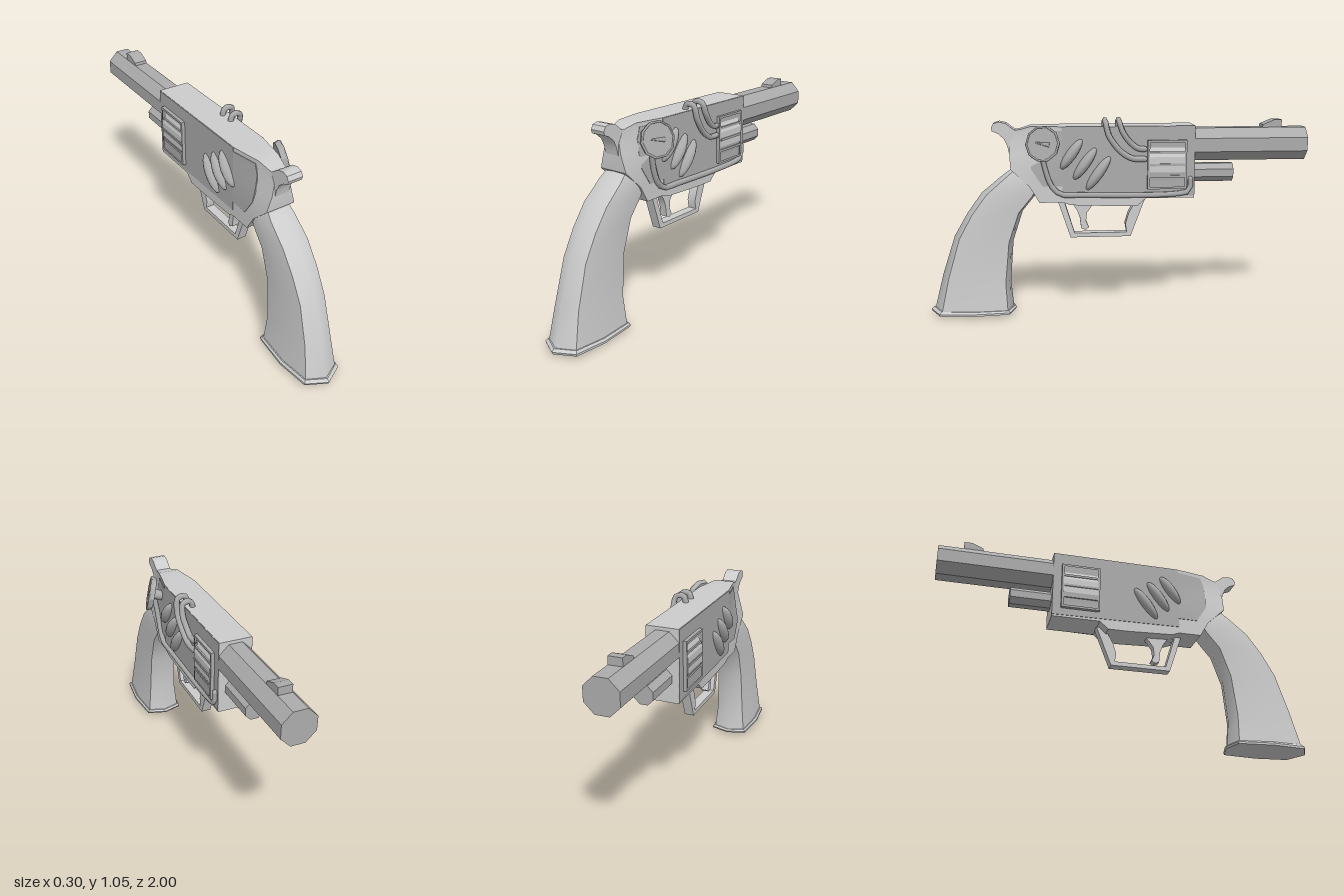
import * as THREE from 'three';
import { toCreasedNormals } from 'three/addons/utils/BufferGeometryUtils.js';

const CX = -0.024;   // centre plane of the prop
const HALF = 0.083;  // half width of the frame

export function createModel() {
  const model = new THREE.Group();
  const light = new THREE.MeshStandardMaterial({ color: 0xcccccc });
  light.name = 'lightGrey';
  const mid = new THREE.MeshStandardMaterial({ color: 0xacacac });
  mid.name = 'midGrey';

  const add = (name, geometry, material, x = 0, y = 0, z = 0) => {
    const mesh = new THREE.Mesh(geometry, material);
    mesh.name = name;
    mesh.position.set(x, y, z);
    model.add(mesh);
    return mesh;
  };

  // Side profile of [z, y] points, extruded across x and centred on x = 0
  const points = (list) => list.map(([z, y]) => new THREE.Vector2(-z, y));
  const profile = (list, width, hole) => {
    const shape = new THREE.Shape(points(list));
    if (hole) shape.holes.push(new THREE.Path(points(hole)));
    return toCreasedNormals(new THREE.ExtrudeGeometry(shape, { depth: width, bevelEnabled: false })
      .translate(0, 0, -width / 2).rotateY(Math.PI / 2), 0.55);
  };

  // Skin over rings of [x, y, z] ordered upwards, capped at both ends
  const loft = (rings, crease, dome = 0) => {
    const pos = [];
    const n = rings[0].length;
    const centre = (ring) => [0, 1, 2].map((k) => ring.reduce((s, p) => s + p[k], 0) / n);
    const low = centre(rings[0]);
    low[1] -= dome;
    const top = rings[rings.length - 1];
    const high = centre(top);
    for (let j = 0; j < n; j++) {
      const k = (j + 1) % n;
      pos.push(...low, ...rings[0][k], ...rings[0][j], ...high, ...top[j], ...top[k]);
      for (let i = 0; i + 1 < rings.length; i++) {
        const [a, b, c, d] = [rings[i][j], rings[i][k], rings[i + 1][k], rings[i + 1][j]];
        pos.push(...a, ...b, ...c, ...a, ...c, ...d);
      }
    }
    const g = new THREE.BufferGeometry();
    g.setAttribute('position', new THREE.Float32BufferAttribute(pos, 3));
    return toCreasedNormals(g, crease);
  };

  // Regular bar along z with a flat on top
  const bar = (apothem, length, sides = 8) => toCreasedNormals(
    new THREE.CylinderGeometry(apothem / Math.cos(Math.PI / sides), apothem / Math.cos(Math.PI / sides), length, sides)
      .rotateY(Math.PI / sides).rotateX(Math.PI / 2), 0.3);

  const tube = (name, list, radius) => {
    const curve = new THREE.CatmullRomCurve3(list.map((p) => new THREE.Vector3(...p)), false, 'centripetal');
    add(name, new THREE.TubeGeometry(curve, 26, radius, 6), mid);
    [list[0], list[list.length - 1]].forEach((p) =>
      add(name + 'End', new THREE.SphereGeometry(radius, 6, 5), mid, ...p));
  };

  // Frame
  add('frame', profile([[-0.4, 0.63], [-0.4, 1.007], [0.29, 1.007], [0.29, 0.615], [0.25, 0.6],
    [0, 0.59], [-0.1, 0.59], [-0.145, 0.63]], HALF * 2), light, CX);
  // Tapering rear of the frame: y, rear z, rear half width
  const rear = [[0.615, 0.41, 0.083], [0.7, 0.46, 0.083], [0.79, 0.555, 0.08], [0.87, 0.56, 0.056],
    [0.93, 0.555, 0.042], [0.985, 0.525, 0.04], [1.007, 0.45, 0.055]];
  // Portion of the rear up to fraction t of its length, grown sideways by the given amount
  const rearRing = (t, grow) => ([y, zEnd, wEnd]) => {
    const z = 0.29 + (zEnd - 0.29) * t;
    const w = HALF + (wEnd - HALF) * t + grow;
    const f = HALF + grow;
    return [[f, y, 0.29], [-f, y, 0.29], [-w, y, z], [w, y, z]];
  };
  add('rearFrame', loft(rear.map(rearRing(1, 0)), 0.5), light, CX);
  add('rearPanel', loft(rear.slice(1, 6).map(rearRing(0.6, 0.003)), 0.5), mid, CX);
  add('hammer', profile([[0.65, 1.0], [0.638, 1.022], [0.61, 1.03], [0.575, 1.022], [0.53, 0.987], [0.45, 1.0],
    [0.45, 0.88], [0.562, 0.87], [0.57, 0.91], [0.587, 0.945], [0.615, 0.97], [0.645, 0.982]], 0.08), light, CX);

  // Barrel group
  add('barrel', bar(0.085, 0.61), mid, CX, 0.905, -0.695);
  add('lowerRod', bar(0.048, 0.23), mid, CX, 0.753, -0.5);
  add('frontSight', profile([[-0.765, 0.98], [-0.77, 1.005], [-0.83, 1.03], [-0.87, 1.03], [-0.87, 0.98]], 0.07), mid, CX);

  // Details shared by both sides
  for (const side of [1, -1]) {
    const x = CX + side * HALF;
    add('sidePanel', profile([[-0.4, 0.64], [-0.4, 1.005], [0.29, 1.005], [0.29, 0.65]], 0.006), mid, x);
    add('drumSurround', profile([[-0.15, 0.68], [-0.15, 0.935], [-0.355, 0.935], [-0.355, 0.68]], 0.03,
      [[-0.162, 0.692], [-0.162, 0.923], [-0.343, 0.923], [-0.343, 0.692]]), mid, x + side * 0.006);
    for (let i = 0; i < 3; i++) {
      const fin = add('fin', new THREE.SphereGeometry(1, 12, 8), mid, x, 0.866 - i * 0.05, 0.243 - i * 0.069);
      fin.scale.set(0.04, 0.094 + i * 0.006, 0.028);
      fin.rotation.x = -0.62;
    }
  }

  // Drum showing through both sides, with ribs
  const drum = add('drum', bar(0.15, 0.185, 12), light, CX, 0.808, -0.252);
  drum.scale.x = 0.7;
  for (const side of [1, -1]) {
    for (let i = 0; i < 3; i++) {
      const y = (i - 1) * 0.062;
      add('drumGroove', new THREE.BoxGeometry(0.008, 0.012, 0.182), mid,
        CX + side * (i === 1 ? 0.106 : 0.099), 0.808 + y, -0.252);
    }
  }

  // Grip: back z and y, front z and y, half width, depth of the back ridge
  const gripRing = ([bz, by, fz, fy, w, ridge]) => {
    const at = (s, t) => [s * w, fy + (by - fy) * t, fz + (bz - fz) * t];
    return [at(1, 0.5), at(0.85, 0.07), at(0, 0), at(-0.85, 0.07),
      at(-1, 0.5), at(-0.85, 1 - ridge), at(0, 1), at(0.85, 1 - ridge)];
  };
  add('grip', loft([
    [0.98, 0.03, 0.56, 0.03, 0.107, 0.11], [0.93, 0.22, 0.572, 0.18, 0.09, 0.105],
    [0.86, 0.43, 0.553, 0.4, 0.084, 0.1], [0.79, 0.55, 0.5, 0.56, 0.084, 0.1],
    [0.71, 0.66, 0.425, 0.65, 0.084, 0.1], [0.6, 0.75, 0.4, 0.72, 0.08, 0.1],
    [0.545, 0.79, 0.42, 0.765, 0.07, 0.1],
  ].map(gripRing), 0.95), light, CX);
  add('gripBase', loft([
    [0.995, 0.018, 0.55, 0.018, 0.121, 0.12], [1.0, 0.03, 0.545, 0.028, 0.121, 0.12],
    [0.985, 0.042, 0.555, 0.036, 0.112, 0.12],
  ].map(gripRing), 0.4, 0.016), light, CX);

  // Trigger and guard
  add('triggerGuard', profile([[0.32, 0.625], [0.25, 0.413], [-0.07, 0.413], [-0.15, 0.625]], 0.05,
    [[0.28, 0.605], [0.228, 0.436], [-0.05, 0.436], [-0.042, 0.48], [-0.06, 0.54], [-0.09, 0.595]]), light, CX);
  add('trigger', profile([[0.25, 0.61], [0.215, 0.56], [0.2, 0.52], [0.193, 0.46], [0.17, 0.452], [0.152, 0.465],
    [0.167, 0.5], [0.162, 0.545], [0.115, 0.61]], 0.04), light, CX);

  // Dial on a stem, its face turned outwards, up and back
  const dial = new THREE.Group();
  dial.name = 'dial';
  const axis = new THREE.Vector3(0.92, 0.2, 0.34).normalize();
  const across = axis.clone().cross(new THREE.Vector3(0, 0, 1)).normalize();
  dial.quaternion.setFromRotationMatrix(
    new THREE.Matrix4().makeBasis(across, axis, across.clone().cross(axis)));
  dial.position.set(0.1, 0.925, 0.385);
  const dialPart = (name, geometry, y) => {
    const mesh = new THREE.Mesh(geometry, mid);
    mesh.name = name;
    mesh.position.y = y;
    dial.add(mesh);
    return mesh;
  };
  dialPart('dialCase', toCreasedNormals(new THREE.CylinderGeometry(0.092, 0.085, 0.026, 10), 0.3), 0);
  dialPart('dialRim', new THREE.TorusGeometry(0.087, 0.006, 5, 10).rotateX(Math.PI / 2).rotateY(Math.PI / 2), 0.012);
  dialPart('dialStem', new THREE.CylinderGeometry(0.028, 0.028, 0.09, 8), -0.05);
  const needle = dialPart('dialNeedle', new THREE.CylinderGeometry(0.003, 0.012, 0.075, 4).rotateX(Math.PI / 2), 0.013);
  needle.scale.y = 0.5;
  needle.rotation.y = -0.2;
  model.add(dial);

  // Pipes on the left side
  tube('longPipe', [[0.08, 0.88, 0.395], [0.07, 0.8, 0.38], [0.067, 0.7, 0.345], [0.067, 0.66, 0.3],
    [0.067, 0.655, 0.2], [0.067, 0.655, -0.32], [0.067, 0.67, -0.37], [0.067, 0.73, -0.377]], 0.015);
  tube('upperPipe', [[0.02, 0.99, 0.07], [0.035, 1.035, 0.07], [0.075, 1.03, 0.068], [0.085, 0.96, 0.05],
    [0.08, 0.88, -0.01], [0.077, 0.843, -0.07], [0.072, 0.838, -0.135]], 0.015);
  tube('upperPipe', [[0.02, 0.99, 0], [0.035, 1.037, 0], [0.075, 1.033, -0.002], [0.085, 0.98, -0.02],
    [0.08, 0.925, -0.06], [0.077, 0.895, -0.1], [0.072, 0.89, -0.135]], 0.015);

  return model;
}
